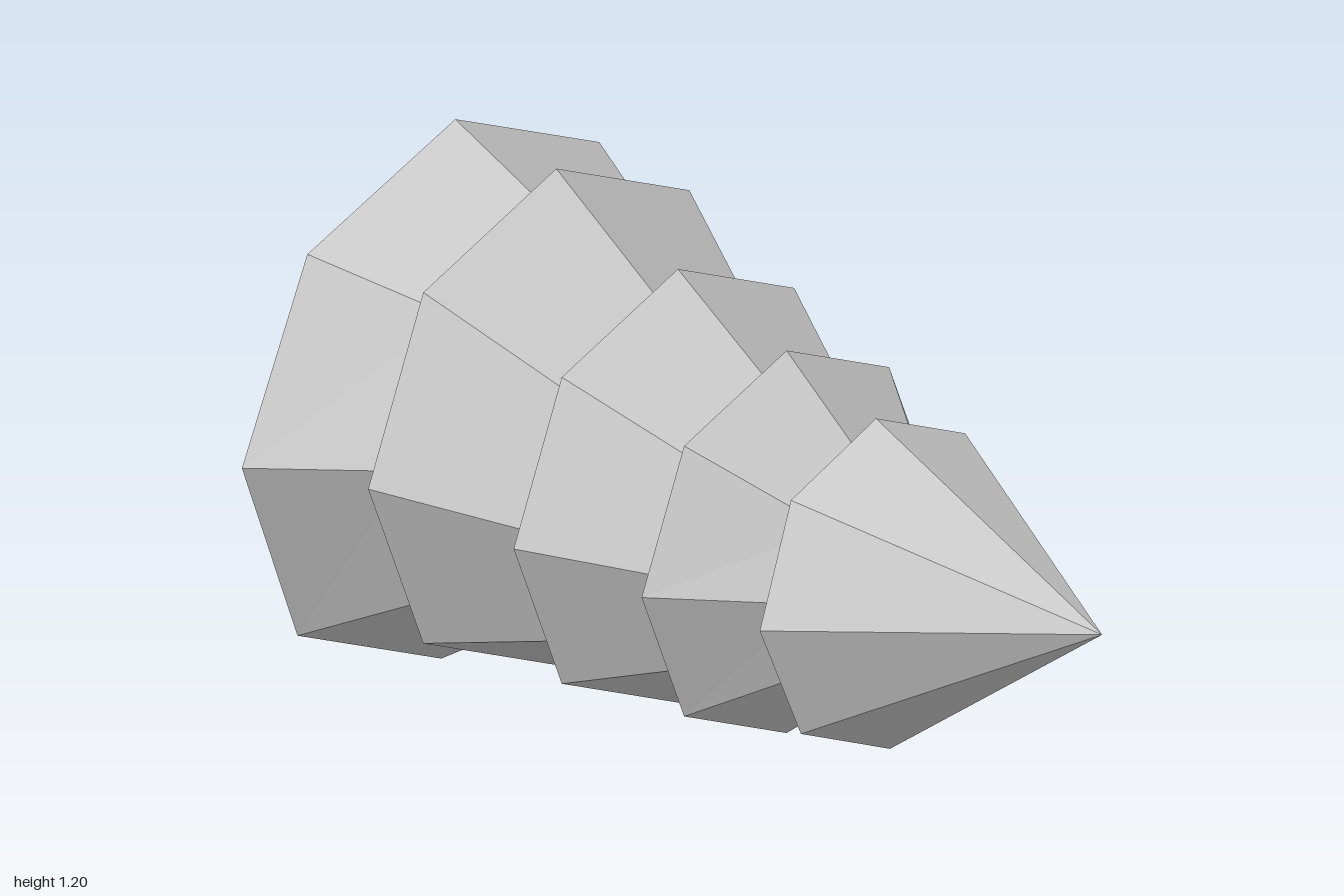
import * as THREE from 'three';

const SIDES = 8;

// Ring = { z, cy, r, tilt }: octagon across the z axis; tilt shifts its top in z
function ringPoint({ z, cy, r, tilt = 0 }, i) {
  const a = (i % SIDES) * Math.PI * 2 / SIDES;
  const s = Math.sin(a);
  return [r * Math.cos(a), cy + r * s, z + tilt * s];
}

// Joins rings, ordered front to back, with flat facets; radius 0 is a point
function loft(rings) {
  const pos = [];
  for (let k = 0; k < rings.length - 1; k++) {
    const [f, b] = [rings[k], rings[k + 1]];
    for (let i = 0; i < SIDES; i++) {
      const a0 = ringPoint(f, i), a1 = ringPoint(f, i + 1);
      const b0 = ringPoint(b, i), b1 = ringPoint(b, i + 1);
      if (b.r > 0) pos.push(...a0, ...b0, ...b1);
      if (f.r > 0) pos.push(...a0, ...b1, ...a1);
    }
  }
  const geo = new THREE.BufferGeometry();
  geo.setAttribute('position', new THREE.Float32BufferAttribute(pos, 3));
  geo.computeVertexNormals();
  return geo;
}

export function createModel() {
  const group = new THREE.Group();
  const material = new THREE.MeshStandardMaterial({ color: 0xcccccc, flatShading: true });
  const add = (name, geo) => {
    const mesh = new THREE.Mesh(geo, material);
    mesh.name = name;
    group.add(mesh);
    return mesh;
  };

  // Foliage tiers from the tip to the base: narrow front ring, wide back ring
  const tiers = [
    { front: { z: 1, cy: 0.595, r: 0 }, back: { z: 0.375, cy: 0.528, r: 0.357, tilt: -0.02 } },
    { front: { z: 0.375, cy: 0.542, r: 0.207, tilt: -0.012 }, back: { z: 0.1, cy: 0.541, r: 0.42 } },
    { front: { z: 0.1, cy: 0.543, r: 0.3 }, back: { z: -0.21, cy: 0.575, r: 0.476 } },
    { front: { z: -0.21, cy: 0.567, r: 0.363 }, back: { z: -0.557, cy: 0.627, r: 0.545 } },
    { front: { z: -0.557, cy: 0.633, r: 0.433 }, back: { z: -0.865, cy: 0.6, r: 0.598, tilt: 0.02 } },
  ];
  tiers.forEach(({ front, back }, i) => {
    // The underside runs in to the next tier; the last one is closed
    const inner = i < tiers.length - 1 ? tiers[i + 1].front : { z: back.z, cy: back.cy, r: 0 };
    add(`foliageTier${i + 1}`, loft([front, back, inner]));
  });

  // Short trunk behind the base tier
  const trunk = add('trunk', new THREE.CylinderGeometry(0.15, 0.15, 0.15, SIDES));
  trunk.rotation.x = Math.PI / 2;
  trunk.position.set(0, 0.6, -0.925);

  return group;
}
